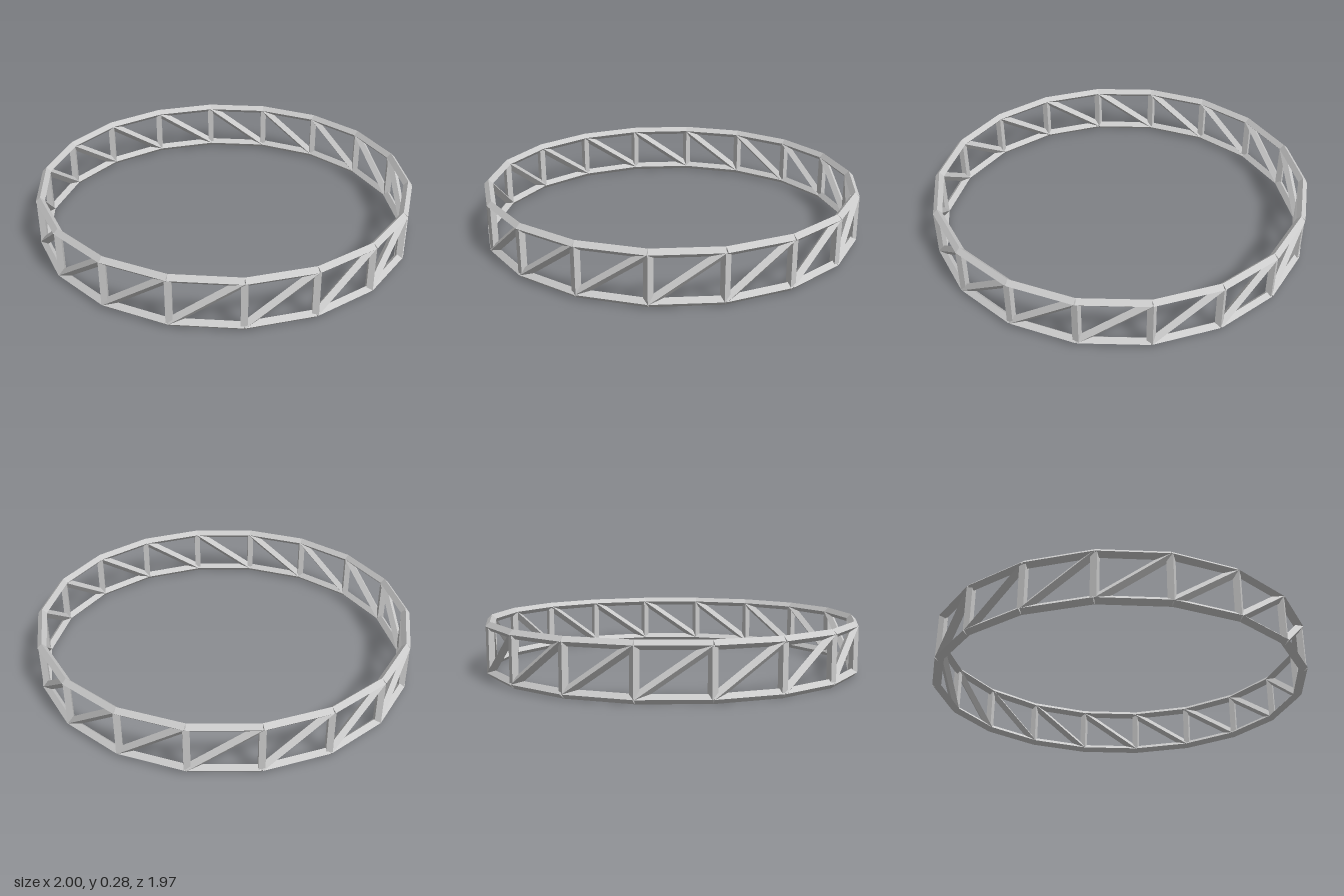
import * as THREE from 'three';

const SIDES = 18;      // bays around the ring
const RADIUS = 0.977;  // node circle
const BAR = 0.023;     // half diagonal of the square bars
const LOW = 0.023, HIGH = 0.26;

const material = new THREE.MeshStandardMaterial({ color: 0xcccccc, flatShading: true });

// Ring node k at height y
function node(k, y) {
  const a = (k / SIDES) * Math.PI * 2;
  return new THREE.Vector3(Math.cos(a) * RADIUS, y, Math.sin(a) * RADIUS);
}

// Square bar between two points, standing on its edge
function bar(name, from, to) {
  const dir = to.clone().sub(from);
  const length = dir.length();
  dir.normalize();
  const side = new THREE.Vector3(1, 0, 0);
  if (Math.abs(dir.y) < 0.99) side.crossVectors(dir, new THREE.Vector3(0, 1, 0)).normalize();
  const third = new THREE.Vector3().crossVectors(side, dir);
  const mesh = new THREE.Mesh(new THREE.CylinderGeometry(BAR, BAR, length, 4), material);
  mesh.name = name;
  mesh.quaternion.setFromRotationMatrix(new THREE.Matrix4().makeBasis(side, dir, third));
  mesh.position.copy(from).add(to).multiplyScalar(0.5);
  return mesh;
}

export function createModel() {
  const model = new THREE.Group();
  model.name = 'ringTruss';
  for (let k = 0; k < SIDES; k++) {
    const bay = new THREE.Group();
    bay.name = 'bay' + k;
    bay.add(
      bar('lowerChord', node(k, LOW), node(k + 1, LOW)),
      bar('upperChord', node(k, HIGH), node(k + 1, HIGH)),
      bar('post', node(k, LOW), node(k, HIGH)),
      bar('diagonalBrace', node(k + 1, LOW), node(k, HIGH)),
    );
    model.add(bay);
  }
  return model;
}
